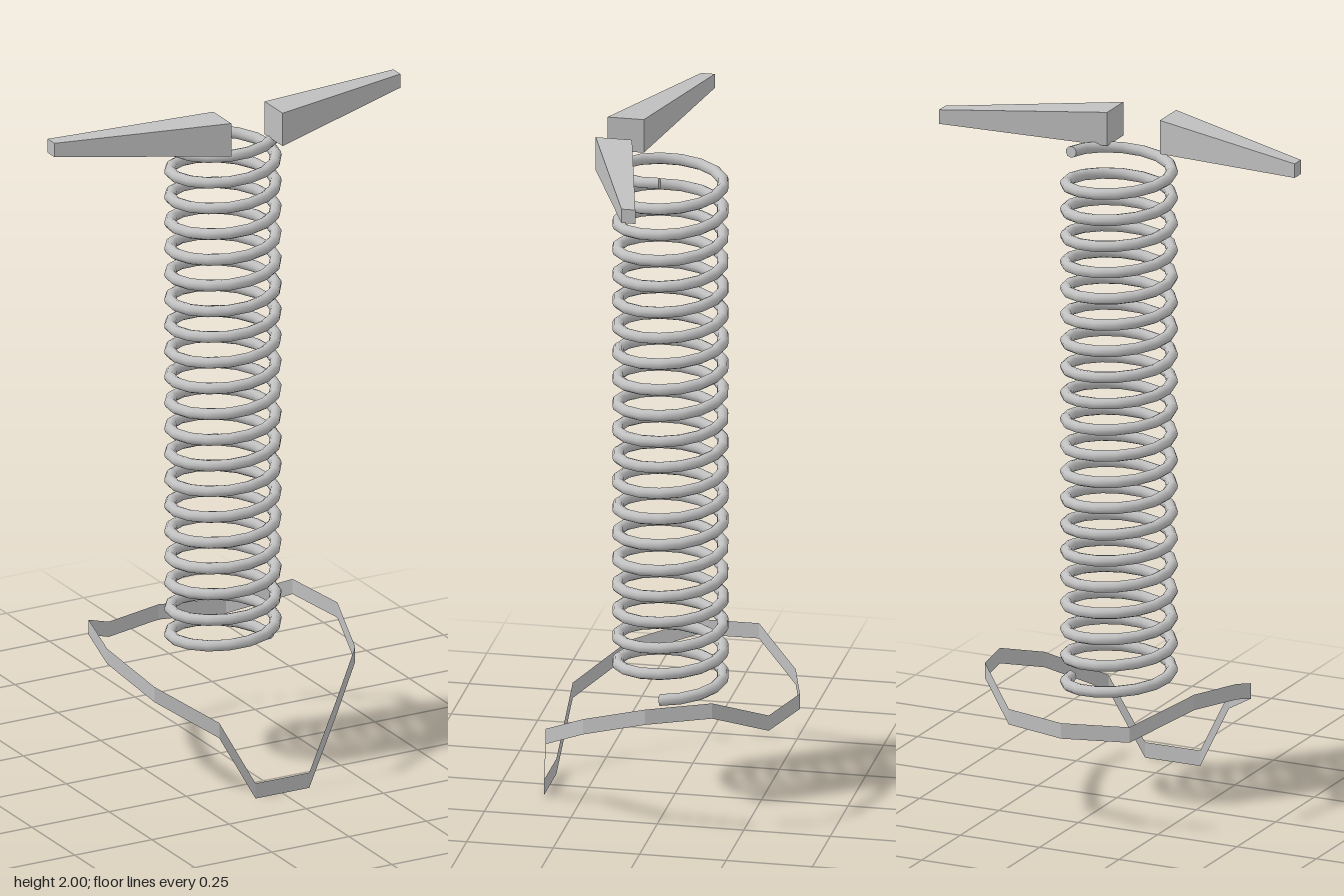
import * as THREE from 'three';

const steel = new THREE.MeshStandardMaterial({ color: 0xc0c0c0, side: THREE.DoubleSide });
steel.name = 'steel grey';

// Coil: starts on the +x side and rises through the back
const TURNS = 20, COIL_RADIUS = 0.151, WIRE = 0.0165, COIL_Z = 0.0135, BOTTOM = 0.337, TOP = 1.9;

class Helix extends THREE.Curve {
  getPoint(t, target = new THREE.Vector3()) {
    const a = t * TURNS * Math.PI * 2;
    return target.set(
      COIL_RADIUS * Math.cos(a),
      BOTTOM + (TOP - BOTTOM) * t,
      COIL_Z - COIL_RADIUS * Math.sin(a)
    );
  }
}

function part(name, geometry) {
  const mesh = new THREE.Mesh(geometry, steel);
  mesh.name = name;
  return mesh;
}

function spring() {
  const group = new THREE.Group();
  group.name = 'spring';
  const path = new Helix();
  group.add(part('coil', new THREE.TubeGeometry(path, TURNS * 16, WIRE, 10)));
  // flat wire ends
  for (const [t, s] of [[0, -1], [1, 1]]) {
    const cap = part('wireEnd', new THREE.CircleGeometry(WIRE, 10));
    const out = path.getTangent(t).multiplyScalar(s);
    cap.position.copy(path.getPoint(t));
    cap.quaternion.setFromUnitVectors(new THREE.Vector3(0, 0, 1), out);
    group.add(cap);
  }
  return group;
}

// Tapered arm, swept back towards its tip
function arm(side) {
  const g = new THREE.BoxGeometry(1, 1, 1);
  const p = g.attributes.position;
  const mix = THREE.MathUtils.lerp;
  for (let i = 0; i < p.count; i++) {
    const t = side * p.getX(i) + 0.5;
    p.setXYZ(i,
      side * mix(0.083, 0.56, t),
      1.95 + p.getY(i) * mix(0.1, 0.042, t),
      mix(0.16, 0.02, t) + p.getZ(i) * mix(0.105, 0.04, t));
  }
  g.computeVertexNormals();
  return part(side > 0 ? 'leftArm' : 'rightArm', g);
}

// Closed band of thin upright strips
function band() {
  const half = [ // lower edge, front to back
    [0.087, 0, 0.361], [0.19, 0.194, 0.335], [0.325, 0.283, 0.2],
    [0.373, 0.344, 0.01], [0.33, 0.361, -0.175], [0.19, 0.283, -0.31]
  ];
  const mirrored = half.map(([x, y, z]) => [-x, y, z]).reverse();
  const loop = [...half, [0, 0.283, -0.361], ...mirrored];
  const height = 0.046;
  const pos = [];
  loop.forEach((a, i) => {
    const b = loop[(i + 1) % loop.length];
    const a2 = [a[0], a[1] + height, a[2]], b2 = [b[0], b[1] + height, b[2]];
    pos.push(...a, ...b, ...b2, ...a, ...b2, ...a2);
  });
  const g = new THREE.BufferGeometry();
  g.setAttribute('position', new THREE.Float32BufferAttribute(pos, 3));
  g.computeVertexNormals();
  return part('lowerBand', g);
}

export function createModel() {
  const model = new THREE.Group();
  model.name = 'springFigure';
  model.add(spring(), arm(1), arm(-1), band());
  return model;
}
